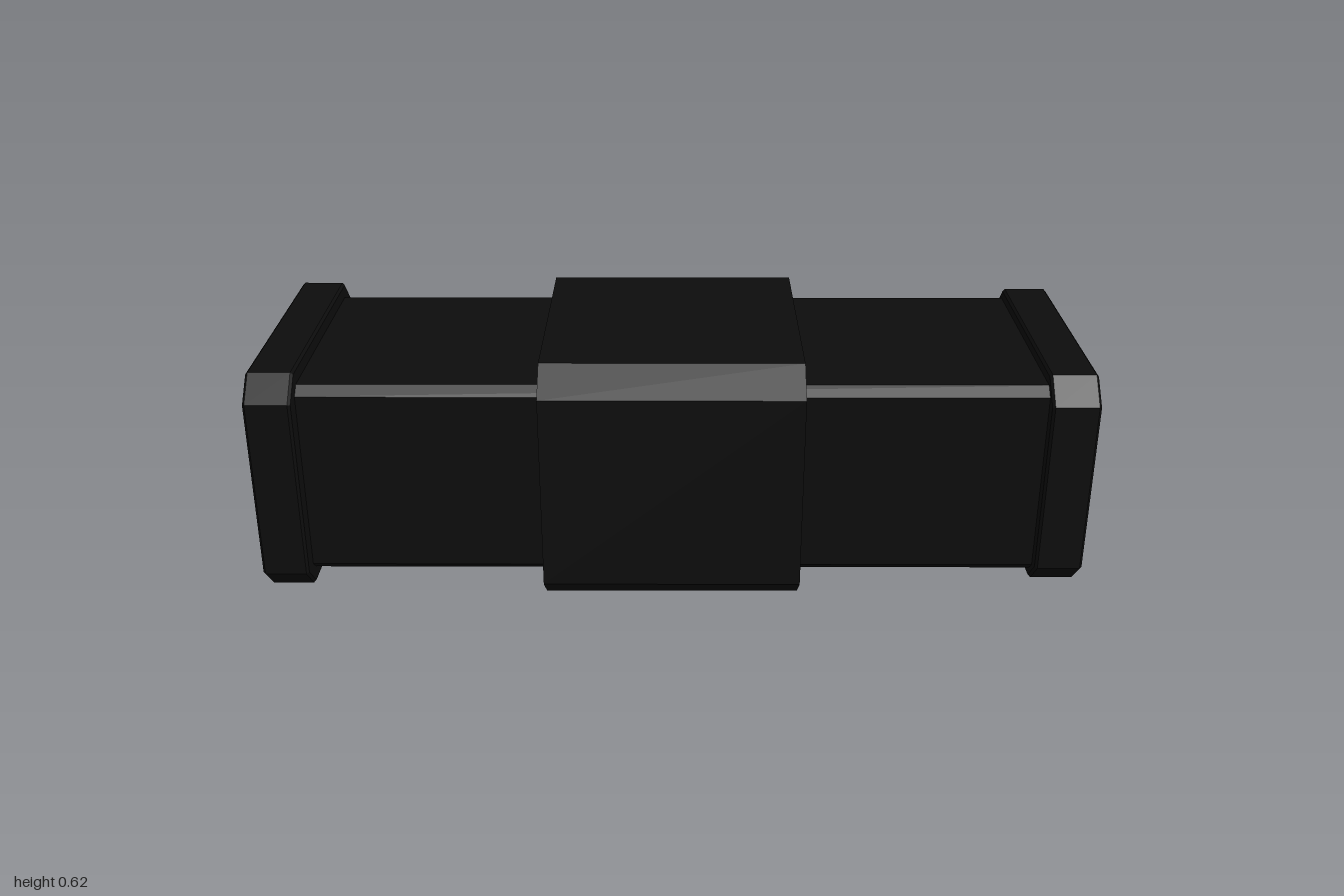
import * as THREE from 'three';

const MID_Y = 0.308;

// Chamfered rectangle swept along x from x0 to x1, with an optional small end bevel
function chamferedBlock(name, material, { x0, x1, halfZ, halfY, cutZ, cutY, bevel = 0, y = MID_Y, z = 0 }) {
  const w = halfZ - bevel, h = halfY - bevel;
  const shape = new THREE.Shape([
    [w, -h + cutY], [w, h - cutY], [w - cutZ, h], [-w + cutZ, h],
    [-w, h - cutY], [-w, -h + cutY], [-w + cutZ, -h], [w - cutZ, -h],
  ].map(([a, b]) => new THREE.Vector2(a, b)));
  const geometry = new THREE.ExtrudeGeometry(shape, {
    depth: x1 - x0 - 2 * bevel,
    bevelEnabled: bevel > 0, bevelSize: bevel, bevelThickness: bevel, bevelSegments: 1,
  });
  geometry.translate(0, 0, bevel);
  geometry.rotateY(Math.PI / 2);
  const mesh = new THREE.Mesh(geometry, material);
  mesh.name = name;
  mesh.position.set(x0, y, z);
  return mesh;
}

export function createModel() {
  const group = new THREE.Group();
  group.name = 'steppedCase';
  const black = new THREE.MeshStandardMaterial({ color: 0x0d0d0d, flatShading: true });

  group.add(
    // Long core running between the end caps
    chamferedBlock('core', black, {
      x0: -0.95, x1: 0.95, halfZ: 0.32, halfY: 0.247, cutZ: 0.025, cutY: 0.022, y: 0.312, z: -0.002,
    }),
    // Wide sleeve around the middle
    chamferedBlock('middleSleeve', black, {
      x0: -0.315, x1: 0.31, halfZ: 0.374, halfY: 0.308, cutZ: 0.075, cutY: 0.063,
    }),
    // End caps, the one on the right slightly larger
    chamferedBlock('rightEndCap', black, {
      x0: -1, x1: -0.888, halfZ: 0.368, halfY: 0.284, cutZ: 0.055, cutY: 0.055, bevel: 0.006, y: 0.312,
    }),
    chamferedBlock('leftEndCap', black, {
      x0: 0.885, x1: 1, halfZ: 0.353, halfY: 0.274, cutZ: 0.055, cutY: 0.055, bevel: 0.006, y: 0.312,
    }),
  );
  return group;
}
